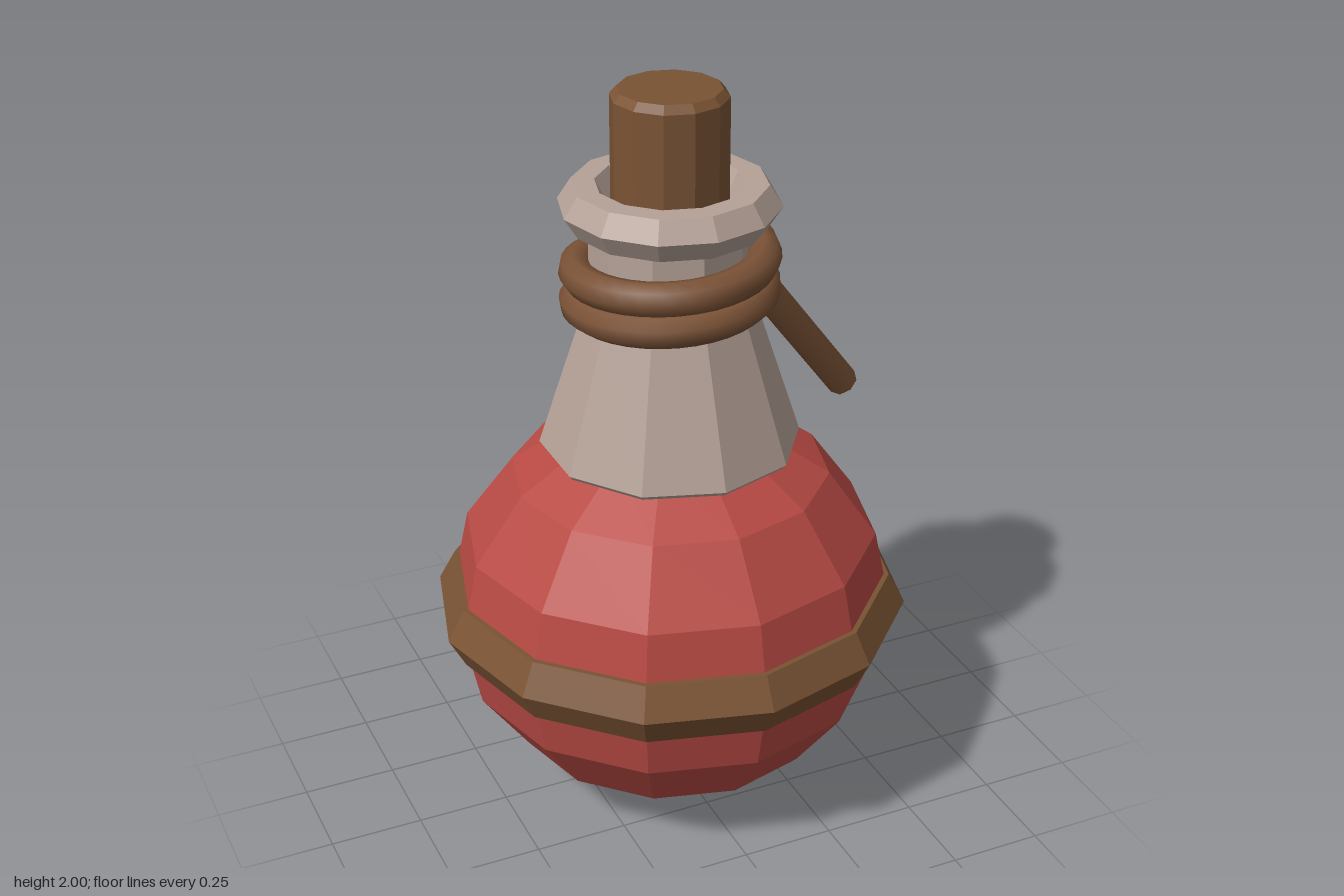
import * as THREE from 'three';

export function createModel() {
  const flat = (name, color) =>
    new THREE.MeshStandardMaterial({ name, color, flatShading: true });
  const red = flat('red liquid', 0xb84a44);
  const glass = flat('pale glass', 0xb5a298);
  const brown = flat('brown', 0x7a5334);
  const rope = new THREE.MeshStandardMaterial({ name: 'rope brown', color: 0x7a5236 });

  const model = new THREE.Group();
  model.name = 'potionBottle';
  const add = (name, geometry, material, parent = model) => {
    const mesh = new THREE.Mesh(geometry, material);
    mesh.name = name;
    parent.add(mesh);
    return mesh;
  };
  // Turned part from [radius, height] pairs, listed from the bottom up
  const turned = (name, profile, sides, material) =>
    add(name, new THREE.LatheGeometry(profile.map(([r, y]) => new THREE.Vector2(r, y)), sides), material);

  // Round faceted body
  const body = [];
  for (let i = 0; i <= 8; i++) {
    const a = (i / 8) * Math.PI;
    body.push([0.6 * Math.sin(a), 0.558 - 0.553 * Math.cos(a)]);
  }
  turned('body', body, 12, red);

  // Ridged band around the middle
  turned('belt', [[0.55, 0.475], [0.595, 0.475], [0.64, 0.56], [0.595, 0.645], [0.55, 0.645]], 12, brown);

  // Flared collar and neck
  turned('neck', [
    [0.2, 1.03], [0.335, 1.03], [0.345, 1.042], [0.225, 1.41], [0.207, 1.42], [0.207, 1.66],
  ], 10, glass);

  // Bevelled lip with a sloped mouth
  turned('lip', [
    [0.17, 1.645], [0.25, 1.645], [0.285, 1.7], [0.25, 1.755], [0.19, 1.755], [0.155, 1.69], [0.14, 1.69],
  ], 12, glass);

  // Cork with a bevelled top
  turned('cork', [[0.15, 1.64], [0.15, 1.98], [0.132, 2], [0, 2]], 12, brown);

  // Rope: two descending turns, closed at the ends
  const ropeGroup = new THREE.Group();
  ropeGroup.name = 'rope';
  model.add(ropeGroup);
  const radius = 0.045;
  const coilPoints = [];
  for (let i = 0; i <= 48; i++) {
    const a = (i / 24) * Math.PI * 2;
    coilPoints.push(new THREE.Vector3(0.24 * Math.cos(a), 1.57 - (0.085 * i) / 24, 0.24 * Math.sin(a)));
  }
  const coil = new THREE.CatmullRomCurve3(coilPoints);
  add('coil', new THREE.TubeGeometry(coil, 72, radius, 8), rope, ropeGroup);
  for (const t of [0, 1]) {
    const cap = add('coilEnd', new THREE.CircleGeometry(radius, 8), rope, ropeGroup);
    cap.position.copy(coil.getPointAt(t));
    const outward = coil.getTangentAt(t).multiplyScalar(t ? 1 : -1);
    cap.quaternion.setFromUnitVectors(new THREE.Vector3(0, 0, 1), outward);
  }

  // Loose end hanging outwards
  const top = new THREE.Vector3(0.235, 1.46, 0);
  const tip = new THREE.Vector3(0.565, 1.04, -0.09);
  const along = top.clone().sub(tip);
  const tail = add('tail', new THREE.CylinderGeometry(0.043, 0.043, along.length(), 8), rope, ropeGroup);
  tail.position.copy(top).add(tip).multiplyScalar(0.5);
  tail.quaternion.setFromUnitVectors(new THREE.Vector3(0, 1, 0), along.normalize());

  return model;
}
